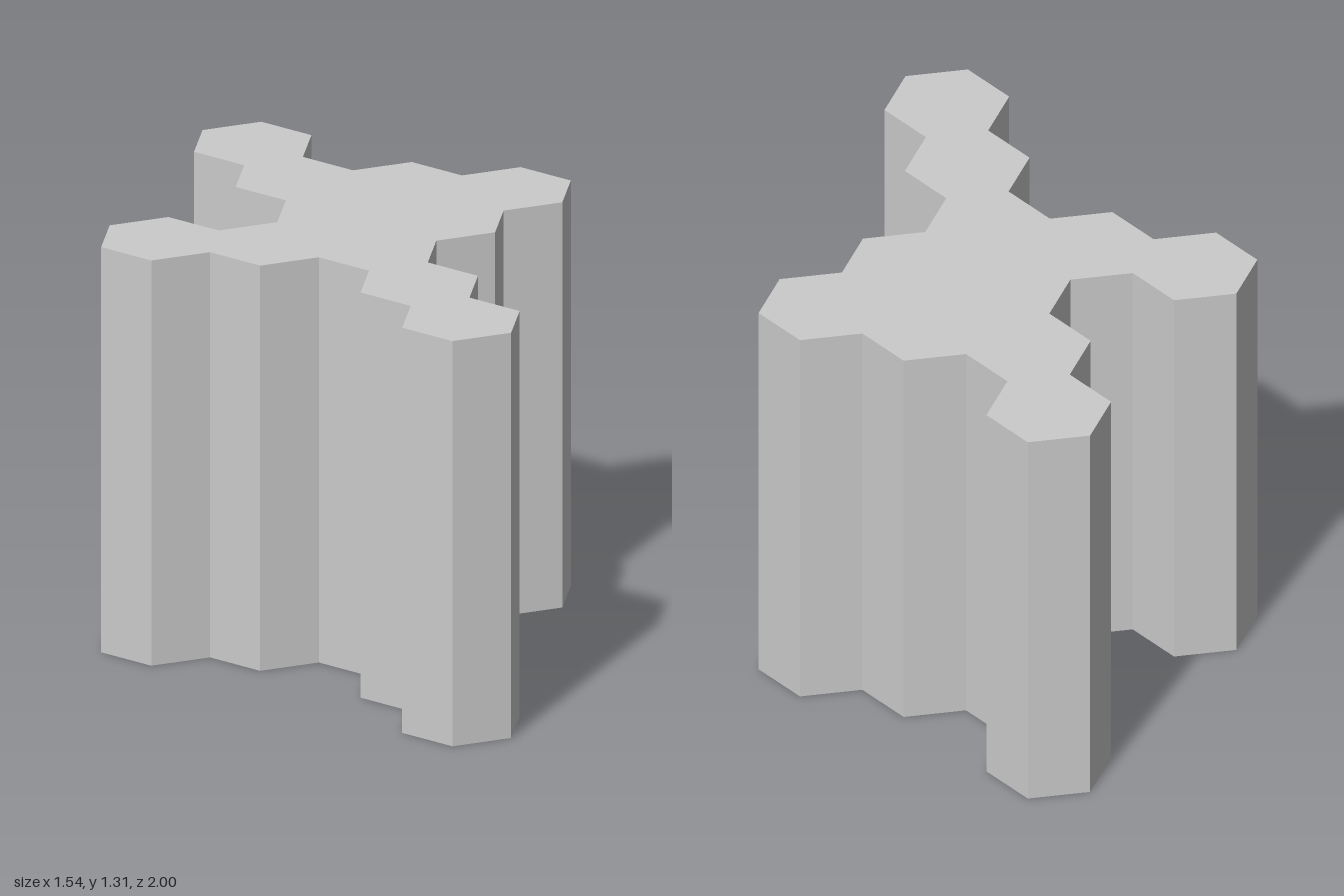
import * as THREE from 'three';

const HEIGHT = 1.31;
const APOTHEM = 1 / 6;                    // half the flat-to-flat width of a cell
const HALF_SIDE = APOTHEM / Math.sqrt(3); // half a cell's edge length

// Corner offsets of a cell, in (half side, apothem) units
const CORNERS = [[2, 0], [1, 1], [-1, 1], [-2, 0], [-1, -1], [1, -1]];

// Cell centres as [x, z] in the same units
const CELLS = [
  [0, -5], [0, -3], [0, -1], [0, 1], [0, 3], [0, 5], // long spine
  [3, -2], [3, 0], [6, -1],                          // left arm
  [-3, 0], [-6, -1],                                 // right arm
];

// Joins the cells: edges shared by two cells cancel, the rest chain into one outline
function clusterOutline() {
  const edges = new Map();
  for (const [cx, cz] of CELLS) {
    const keys = CORNERS.map(([x, z]) => `${cx + x},${cz + z}`);
    keys.forEach((from, i) => {
      const to = keys[(i + 1) % 6];
      edges.set(`${from}>${to}`, [from, to]);
    });
  }
  const next = new Map();
  for (const [from, to] of edges.values()) {
    if (!edges.has(`${to}>${from}`)) next.set(from, to);
  }
  const start = next.keys().next().value;
  const points = [];
  let key = start;
  do {
    const [x, z] = key.split(',').map(Number);
    points.push(new THREE.Vector2(x * HALF_SIDE, -z * APOTHEM));
    key = next.get(key);
  } while (key !== start);
  return points;
}

export function createModel() {
  const group = new THREE.Group();
  group.name = 'hexagonColumnCluster';

  // Solid block of joined hexagonal columns, standing upright
  const geometry = new THREE.ExtrudeGeometry(new THREE.Shape(clusterOutline()), {
    depth: HEIGHT,
    bevelEnabled: false,
  });
  geometry.rotateX(-Math.PI / 2);

  const columns = new THREE.Mesh(
    geometry,
    new THREE.MeshStandardMaterial({ color: 0xcccccc, flatShading: true })
  );
  columns.name = 'hexagonColumns';
  group.add(columns);
  return group;
}
